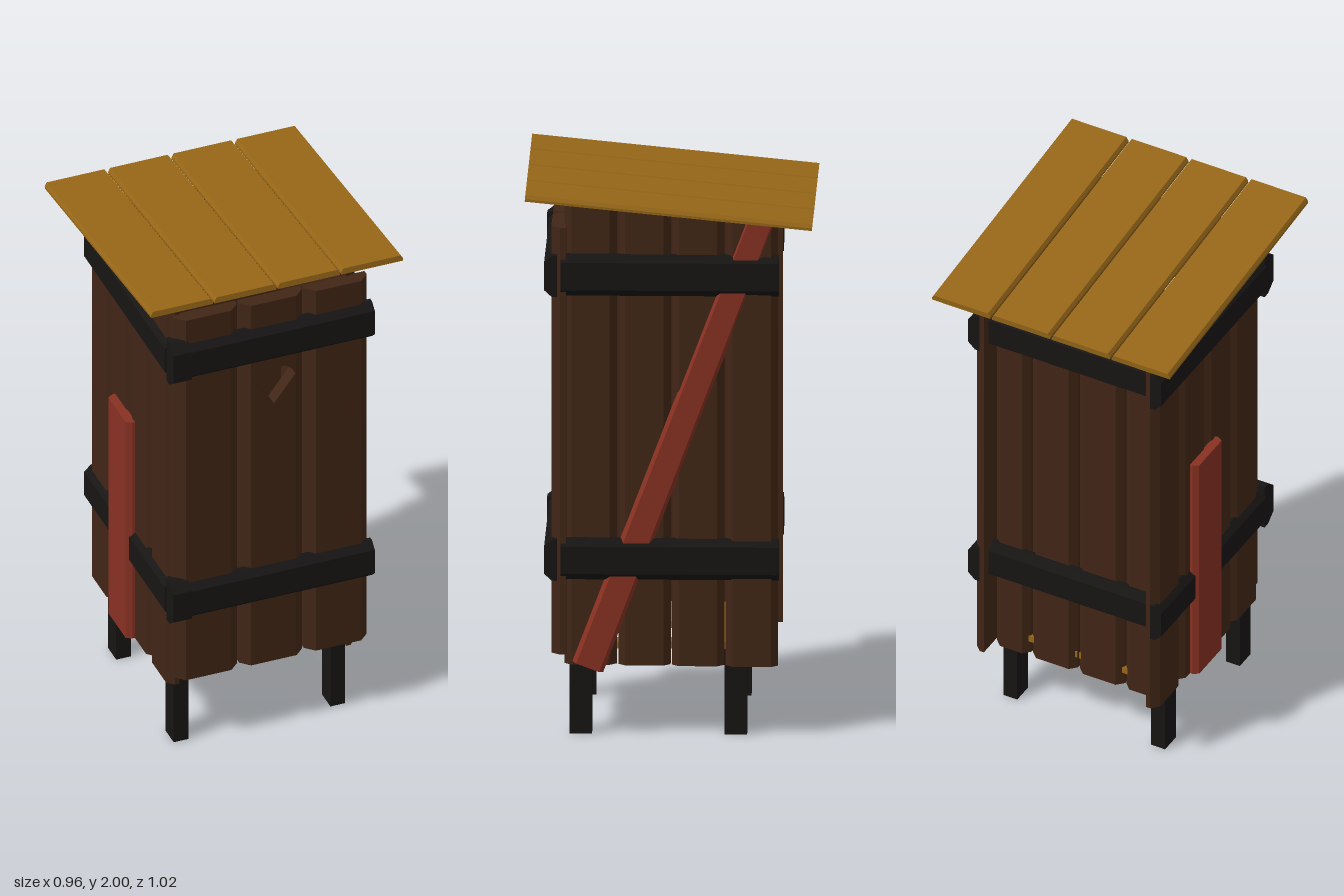
import * as THREE from 'three';

const mat = (color) => new THREE.MeshStandardMaterial({ color, flatShading: true });
const BROWN = mat(0x412616), GOLD = mat(0x976718), RED = mat(0x883122), BLACK = mat(0x171514);
const HALF_PI = Math.PI / 2;
const ROOF_Y = 1.926, ROOF_SLOPE = 0.099;

// Upright board facing +z, back face on z = 0, with chamfered long front edges
function plank(w, h, t, c) {
  const s = new THREE.Shape([
    [-w / 2, 0], [w / 2, 0], [w / 2, t * 0.4], [w / 2 - c, t], [-w / 2 + c, t], [-w / 2, t * 0.4],
  ].map(([x, y]) => new THREE.Vector2(x, y)));
  const g = new THREE.ExtrudeGeometry(s, { depth: h, bevelEnabled: false });
  return g.translate(0, 0, -h / 2).rotateX(HALF_PI);
}

// Cut everything off at the sloping underside of the roof
function trimToRoof(g) {
  const p = g.attributes.position;
  for (let i = 0; i < p.count; i++) p.setY(i, Math.min(p.getY(i), ROOF_Y + ROOF_SLOPE * p.getZ(i)));
  return g;
}

export function createModel() {
  const model = new THREE.Group();
  const add = (parent, name, geometry, material) => {
    const m = new THREE.Mesh(geometry, material);
    m.name = name;
    parent.add(m);
  };
  const group = (name) => {
    const g = new THREE.Group();
    g.name = name;
    model.add(g);
    return g;
  };

  // Three plank walls: turn about y, distance of the inner face, step outward per plank,
  // and [centre, width] of the planks; the back wall sits between the side walls
  const side = [-0.279, -0.088, 0.103, 0.294].map((x) => [x, 0.186]);
  const back = [[-0.262, 0.14], [-0.095, 0.182], [0.095, 0.182], [0.262, 0.14]];
  const walls = [
    ['leftWall', HALF_PI, 0.318, 0.007, side],
    ['rightWall', -HALF_PI, 0.318, 0, side.map(([x, w]) => [-x, w])],
    ['backWall', Math.PI, 0.285, 0, back],
  ];
  for (const [name, turn, dist, step, planks] of walls) {
    const wall = group(name);
    planks.forEach(([x, w], i) => {
      const g = plank(w, 1.84, 0.042, 0.025).translate(x, 1.18, dist + i * step).rotateY(turn);
      add(wall, 'wallPlank', trimToRoof(g), BROWN);
    });
  }

  // Door of three planks, the middle one pierced by a heart
  const door = group('door');
  const doorY = 1.082, doorH = 1.557, doorZ = 0.365, doorT = 0.053;
  for (const x of [-0.225, 0.271]) {
    add(door, 'doorPlank', plank(0.24, doorH, doorT, 0.033).translate(x, doorY, doorZ), BROWN);
  }
  const panel = new THREE.Shape([[-0.087, -doorH / 2], [0.087, -doorH / 2], [0.087, doorH / 2], [-0.087, doorH / 2]]
    .map(([x, y]) => new THREE.Vector2(x, y)));
  const heart = [[0, -0.085], [-0.082, 0.025], [-0.075, 0.045], [-0.045, 0.07], [-0.02, 0.068], [0, 0.05],
    [0.02, 0.068], [0.045, 0.07], [0.075, 0.045], [0.082, 0.025]];
  panel.holes.push(new THREE.Path(heart.map(([x, y]) => new THREE.Vector2(x, y + 1.5 - doorY))));
  add(door, 'heartPlank', new THREE.ExtrudeGeometry(panel, { depth: doorT, bevelEnabled: false })
    .translate(0.024, doorY, doorZ), BROWN);
  for (const s of [-1, 1]) {
    const edge = new THREE.Shape([[0, 0], [s * 0.033, 0], [s * 0.033, doorT * 0.4], [0, doorT]]
      .map(([x, y]) => new THREE.Vector2(x, y)));
    add(door, 'heartPlankEdge', new THREE.ExtrudeGeometry(edge, { depth: doorH, bevelEnabled: false })
      .translate(0, 0, -doorH / 2).rotateX(HALF_PI).translate(0.024 + s * 0.087, doorY, doorZ), BROWN);
  }

  // Dark straps around the body, with a hinge block at the front corner
  const straps = group('straps');
  const strap = (len, along, y, dist, turn) => plank(0.15, len, 0.045, 0.025)
    .rotateZ(HALF_PI).translate(along, y, dist).rotateY(turn);
  for (const y of [0.65, 1.685]) {
    add(straps, 'doorStrap', strap(0.735, 0.0325, y, 0.398, 0), BLACK);
    add(straps, 'leftStrap', strap(0.775, 0.0025, y, 0.356, HALF_PI), BLACK);
    add(straps, 'rightStrap', strap(0.775, -0.0025, y, 0.335, -HALF_PI), BLACK);
    add(straps, 'backStrap', strap(0.67, 0, y, 0.317, Math.PI), BLACK);
    add(straps, 'hinge', plank(0.178, 0.07, 0.065, 0.03)
      .rotateZ(HALF_PI).translate(-0.338, y, 0.386), BLACK);
  }

  // Red repair boards: a diagonal brace and an upright patch
  add(model, 'diagonalBrace', trimToRoof(plank(0.116, 1.77, 0.034, 0.014)
    .rotateZ(-0.356).translate(0.02, 1.085, 0.356).rotateY(HALF_PI)), RED);
  add(model, 'patchBoard', plank(0.19, 0.935, 0.035, 0.012)
    .translate(-0.045, 0.728, 0.356).rotateY(-HALF_PI), RED);

  // Sloping roof of four boards
  const roof = group('roof');
  for (let i = 0; i < 4; i++) {
    add(roof, 'roofBoard', plank(0.236, 1.025, 0.023, 0.008)
      .rotateX(-HALF_PI).translate((i - 1.5) * 0.2425, 0, 0), GOLD);
  }
  roof.position.y = ROOF_Y;
  roof.rotation.x = -Math.atan(ROOF_SLOPE);

  // Floor boards, one of them interrupted to leave an opening
  const floor = group('floor');
  const boards = [[-0.278, 0.07, 0.01, 0.64], [-0.12, 0.23, 0.01, 0.64], [0.12, 0.23, -0.19, 0.24],
    [0.12, 0.23, 0.285, 0.09], [0.278, 0.07, 0.01, 0.64]];
  for (const [x, w, z, len] of boards) {
    add(floor, 'floorBoard', new THREE.BoxGeometry(w, 0.025, len).translate(x, 0.322, z), GOLD);
  }

  // Square-cut legs
  for (const x of [-0.306, 0.293]) {
    for (const z of [0.315, -0.236]) {
      add(model, 'leg', new THREE.BoxGeometry(0.056, 0.31, 0.08).translate(x, 0.155, z), BLACK);
    }
  }
  return model;
}
